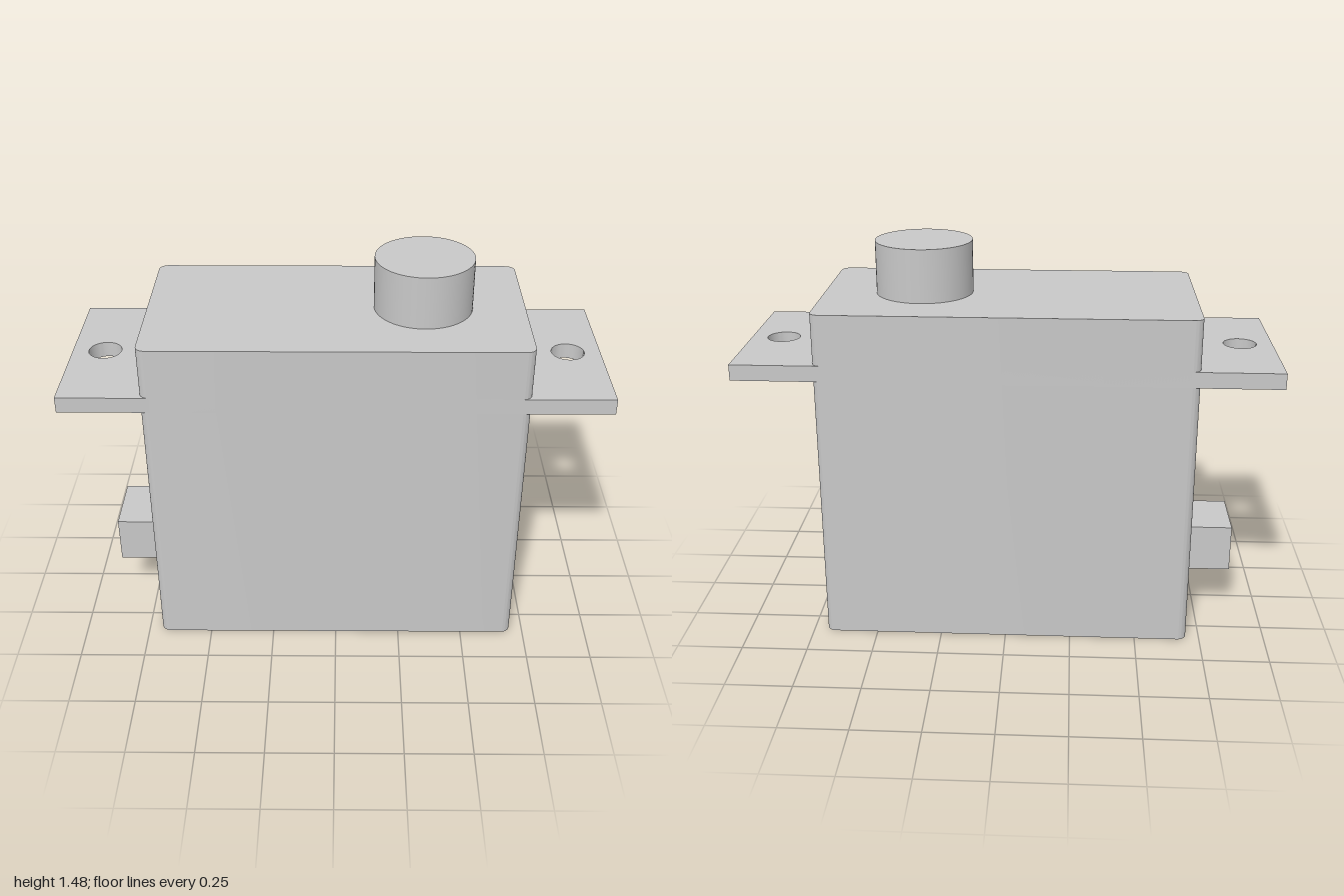
import * as THREE from 'three';
import { toCreasedNormals } from 'three/addons/utils/BufferGeometryUtils.js';

const HALF_DEPTH = 0.355;

// Rectangle centred on the origin, with optional rounded corners
function rectangle(hw, hh, r) {
  const s = new THREE.Shape();
  if (r === 0) {
    s.moveTo(-hw, -hh).lineTo(hw, -hh).lineTo(hw, hh).lineTo(-hw, hh).closePath();
    return s;
  }
  s.absarc(hw - r, -hh + r, r, -Math.PI / 2, 0);
  s.absarc(hw - r, hh - r, r, 0, Math.PI / 2);
  s.absarc(-hw + r, hh - r, r, Math.PI / 2, Math.PI);
  s.absarc(-hw + r, -hh + r, r, Math.PI, Math.PI * 1.5);
  s.closePath();
  return s;
}

// Extrude a plan outline upwards from y0 to y1
function slab(shape, y0, y1) {
  const g = new THREE.ExtrudeGeometry(shape, { depth: y1 - y0, bevelEnabled: false, curveSegments: 24 });
  g.rotateX(-Math.PI / 2).translate(0, y0, 0);
  return toCreasedNormals(g, 0.6);
}

export function createModel() {
  const model = new THREE.Group();
  model.name = 'servoMotor';
  const grey = new THREE.MeshStandardMaterial({ name: 'lightGrey', color: 0xc8c8c8 });

  const add = (name, geometry) => {
    const mesh = new THREE.Mesh(geometry, grey);
    mesh.name = name;
    model.add(mesh);
    return mesh;
  };

  // Case with rounded upright edges
  add('case', slab(rectangle(0.7, HALF_DEPTH, 0.035), 0, 1.28));

  // Mounting plate through the case, with a screw hole at each end
  const plate = rectangle(1, HALF_DEPTH, 0);
  for (const side of [-1, 1]) {
    plate.holes.push(new THREE.Path().absarc(side * 0.877, 0, 0.0625, 0, Math.PI * 2, true));
  }
  add('mountingPlate', slab(plate, 1.03, 1.09));

  // Output shaft
  add('outputShaft', new THREE.CylinderGeometry(0.183, 0.183, 0.2, 64)).position.set(0.322, 1.38, 0);

  // Cable outlet low on the right end
  add('cableOutlet', new THREE.BoxGeometry(0.185, 0.183, 0.25)).position.set(-0.7875, 0.28, 0);

  return model;
}
